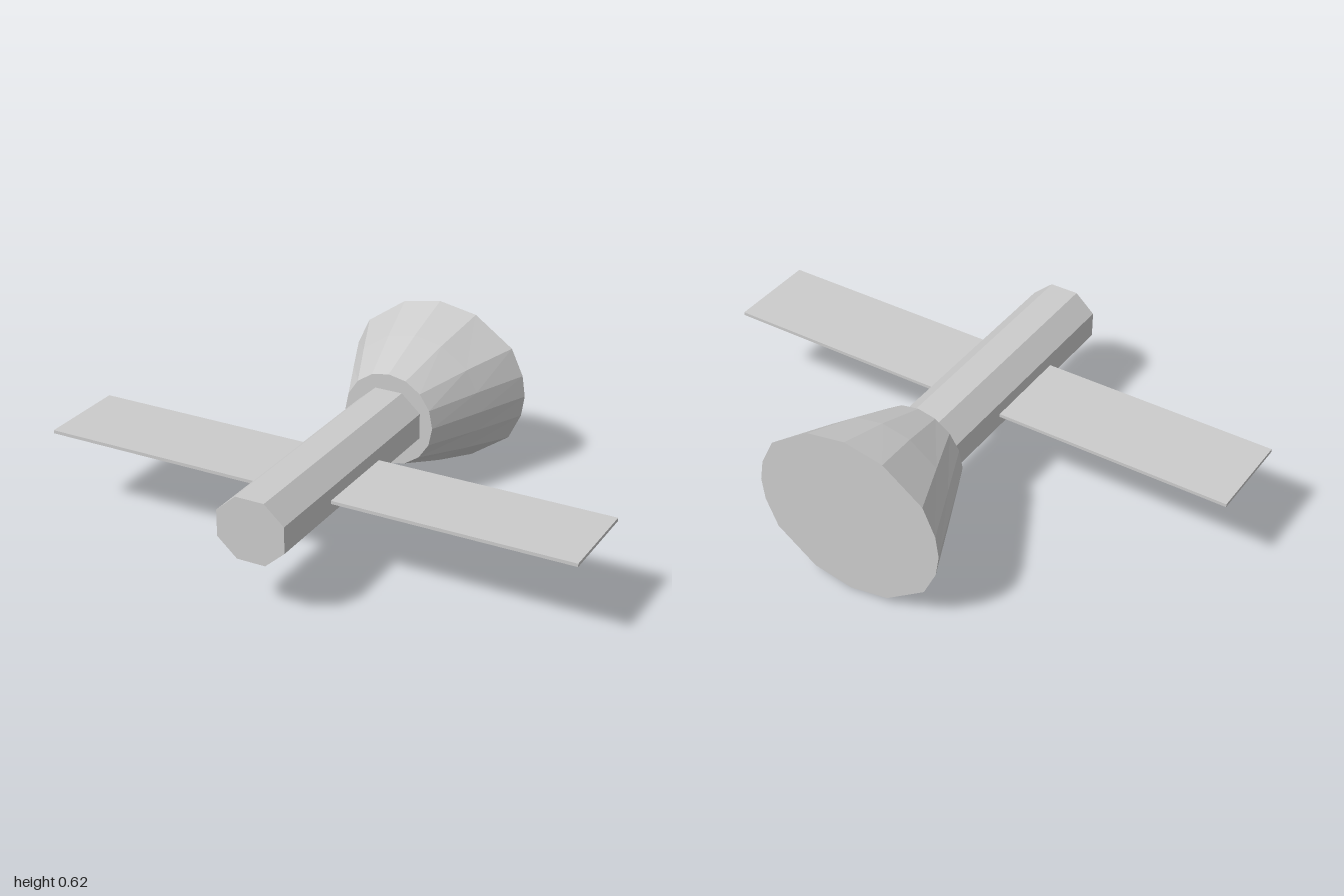
import * as THREE from 'three';

const AXIS_Y = 0.312;

// Mirror one quadrant of points (angle 0 to 90 degrees) into a full loop
function mirrorQuadrant(points) {
  const half = [...points];
  for (const [x, y] of [...points].reverse()) if (x > 0) half.push([-x, y]);
  const loop = [...half];
  for (const [x, y] of [...half].reverse()) if (y > 0) loop.push([x, -y]);
  return loop;
}

// Closed solid through matching loops, listed from front to back
function loft(sections) {
  const pos = [];
  const rings = sections.map(({ z, points }) => points.map(([x, y]) => [x, y, z]));
  const n = rings[0].length;
  const tri = (...corners) => corners.forEach((c) => pos.push(...c));
  const last = rings.length - 1;
  const front = [0, 0, sections[0].z];
  const back = [0, 0, sections[last].z];
  for (let i = 0; i < n; i++) {
    const j = (i + 1) % n;
    for (let r = 0; r < last; r++) {
      const a = rings[r], b = rings[r + 1];
      tri(a[i], b[i], b[j]);
      tri(a[i], b[j], a[j]);
    }
    tri(front, rings[0][i], rings[0][j]);
    tri(back, rings[last][j], rings[last][i]);
  }
  const geometry = new THREE.BufferGeometry();
  geometry.setAttribute('position', new THREE.Float32BufferAttribute(pos, 3));
  geometry.computeVertexNormals();
  return geometry;
}

export function createModel() {
  const group = new THREE.Group();
  const material = new THREE.MeshStandardMaterial({ color: 0xcccccc, flatShading: true });
  const add = (name, geometry, x, y, z) => {
    const mesh = new THREE.Mesh(geometry, material);
    mesh.name = name;
    mesh.position.set(x, y, z);
    group.add(mesh);
  };

  // Octagonal body
  const octagon = mirrorQuadrant([[0.126, 0.048], [0.053, 0.113]]);
  add('body', loft([{ z: 0.684, points: octagon }, { z: -0.28, points: octagon }]), 0, AXIS_Y, 0);

  // Flared tail: round neck opening into a wider, slightly irregular rim
  const neck = mirrorQuadrant([0, 1, 2, 3, 4].map((i) => {
    const a = (i * Math.PI) / 8;
    return i === 4 ? [0, 0.176] : [0.176 * Math.cos(a), 0.176 * Math.sin(a)];
  }));
  const rim = mirrorQuadrant([[0.354, 0], [0.342, 0.08], [0.295, 0.18], [0.146, 0.285], [0, 0.312]]);
  const middle = neck.map(([x, y], i) => [(x + rim[i][0]) / 2, ((y + rim[i][1]) / 2) * 1.025]);
  add('flaredTail', loft([
    { z: -0.272, points: neck },
    { z: -0.477, points: middle },
    { z: -0.684, points: rim },
  ]), 0, AXIS_Y, 0);

  // Thin side panels
  for (const [name, side] of [['leftPanel', 1], ['rightPanel', -1]]) {
    add(name, new THREE.BoxGeometry(0.9, 0.012, 0.34), side * 0.55, 0.308, 0.21);
  }
  return group;
}
